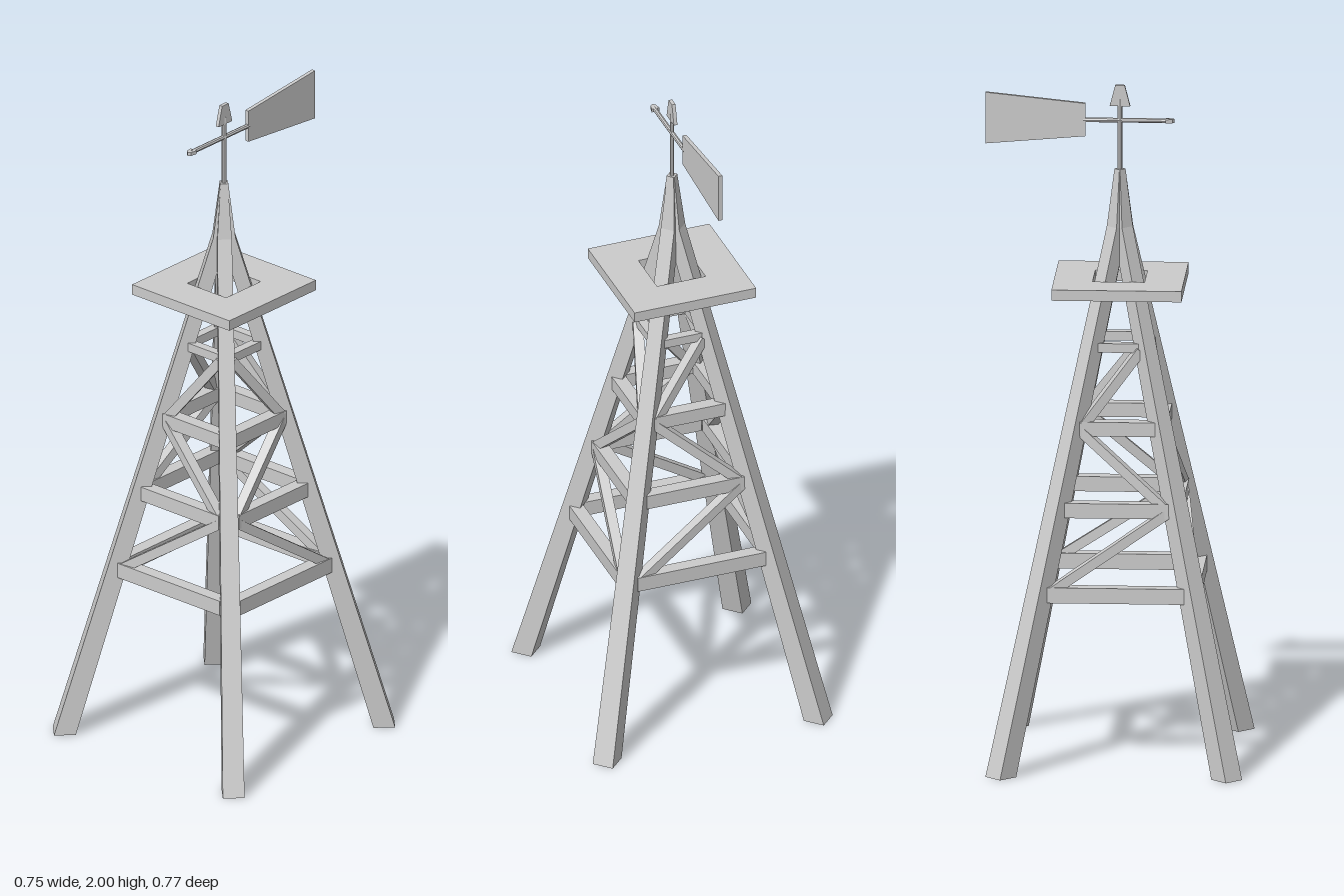
import * as THREE from 'three';

const material = new THREE.MeshStandardMaterial({ color: 0xcccccc, flatShading: true });

function add(parent, geometry, name, x = 0, y = 0, z = 0) {
  const mesh = new THREE.Mesh(geometry, material);
  mesh.name = name;
  mesh.position.set(x, y, z);
  parent.add(mesh);
  return mesh;
}

// Distance of a leg's centre line from the tower axis, along x and along z
const legOffset = (y) => 0.33 - 0.2038 * y;

// Flat plate in the z-y plane, centred on x = 0
function plate(points, thickness) {
  const shape = new THREE.Shape(points.map(([z, y]) => new THREE.Vector2(z, y)));
  const geometry = new THREE.ExtrudeGeometry(shape, { depth: thickness, bevelEnabled: false });
  return geometry.translate(0, 0, -thickness / 2).rotateY(-Math.PI / 2);
}

// Square tapering leg that leans in, then turns upright at the neck
function legGeometry(sx, sz) {
  const levels = [[0, 0.33, 0.045], [1.58, 0.008, 0.03], [1.75, 0.001, 0.015]];
  const geometry = new THREE.CylinderGeometry(1, 1, 2, 4, 2);
  const p = geometry.attributes.position;
  for (let i = 0; i < p.count; i++) {
    const [y, c, r] = levels[Math.round(p.getY(i) + 1)];
    p.setXYZ(i, sx * c + p.getX(i) * r, y, sz * c + p.getZ(i) * r);
  }
  geometry.computeVertexNormals();
  return geometry;
}

export function createModel() {
  const model = new THREE.Group();
  model.name = 'windVaneTower';
  const tower = new THREE.Group();
  tower.name = 'tower';
  tower.position.z = 0.0075;
  model.add(tower);

  // Four legs
  for (const sx of [-1, 1]) {
    for (const sz of [-1, 1]) add(tower, legGeometry(sx, sz), 'leg');
  }

  // Bracing: horizontal rails and zigzag diagonals on each face
  const rails = [[0.525, 0.2, 0.046], [0.768, 0.152, 0.044], [1.002, 0.111, 0.042], [1.233, 0.068, 0.027]];
  const lowEnd = [-1, 1, -1, -1];
  for (let face = 0; face < 4; face++) {
    const side = new THREE.Group();
    side.name = 'braceFace';
    side.rotation.y = face * Math.PI / 2;
    tower.add(side);
    rails.forEach(([y, half, size], i) => {
      add(side, new THREE.BoxGeometry(half * 2, size, Math.min(size, 0.04)), 'rail', 0, y, legOffset(y));
      if (i === rails.length - 1) return;
      const [y2, half2] = rails[i + 1];
      const s = lowEnd[face] * (i % 2 ? -1 : 1);
      const a = new THREE.Vector3(s * (half - 0.01), y + 0.008, legOffset(y) + 0.004);
      const b = new THREE.Vector3(-s * (half2 - 0.005), y2 - 0.008, legOffset(y2) + 0.004);
      const brace = add(side, new THREE.BoxGeometry(0.03, 0.028, a.distanceTo(b)), 'diagonalBrace');
      brace.position.copy(a).add(b).multiplyScalar(0.5);
      // Group-local orientation along a to b
      brace.quaternion.setFromRotationMatrix(new THREE.Matrix4().lookAt(b, a, new THREE.Vector3(0, 1, 0)));
    });
  }

  // Platform with a square opening
  const deck = new THREE.Shape();
  const square = (path, h) => path.moveTo(-h, -h).lineTo(h, -h).lineTo(h, h).lineTo(-h, h).closePath();
  square(deck, 0.19);
  const hole = new THREE.Path();
  square(hole, 0.076);
  deck.holes.push(hole);
  const deckGeometry = new THREE.ExtrudeGeometry(deck, { depth: 0.032, bevelEnabled: false });
  add(tower, deckGeometry.rotateX(-Math.PI / 2), 'platform', 0, 1.396);

  // Mast with a pointed finial
  add(tower, new THREE.CylinderGeometry(0.007, 0.007, 0.28, 8), 'mast', 0, 1.82);
  add(tower, plate([[-0.03, 1.938], [0.03, 1.938], [0.014, 2], [-0.014, 2]], 0.011), 'finial');

  // Wind vane: rod, flat pointer and tail
  add(model, new THREE.CylinderGeometry(0.007, 0.007, 0.25, 8).rotateX(Math.PI / 2), 'vaneRod', 0, 1.895, 0.025);
  const pointer = plate([[0.141, -0.012], [0.161, -0.008], [0.167, 0], [0.161, 0.008], [0.141, 0.012]], 0.011);
  add(model, pointer.rotateZ(Math.PI / 2), 'vanePointer', 0, 1.895);
  add(model, plate([[-0.385, 1.822], [-0.093, 1.847], [-0.093, 1.945], [-0.385, 1.975]], 0.012), 'vaneTail');

  return model;
}
